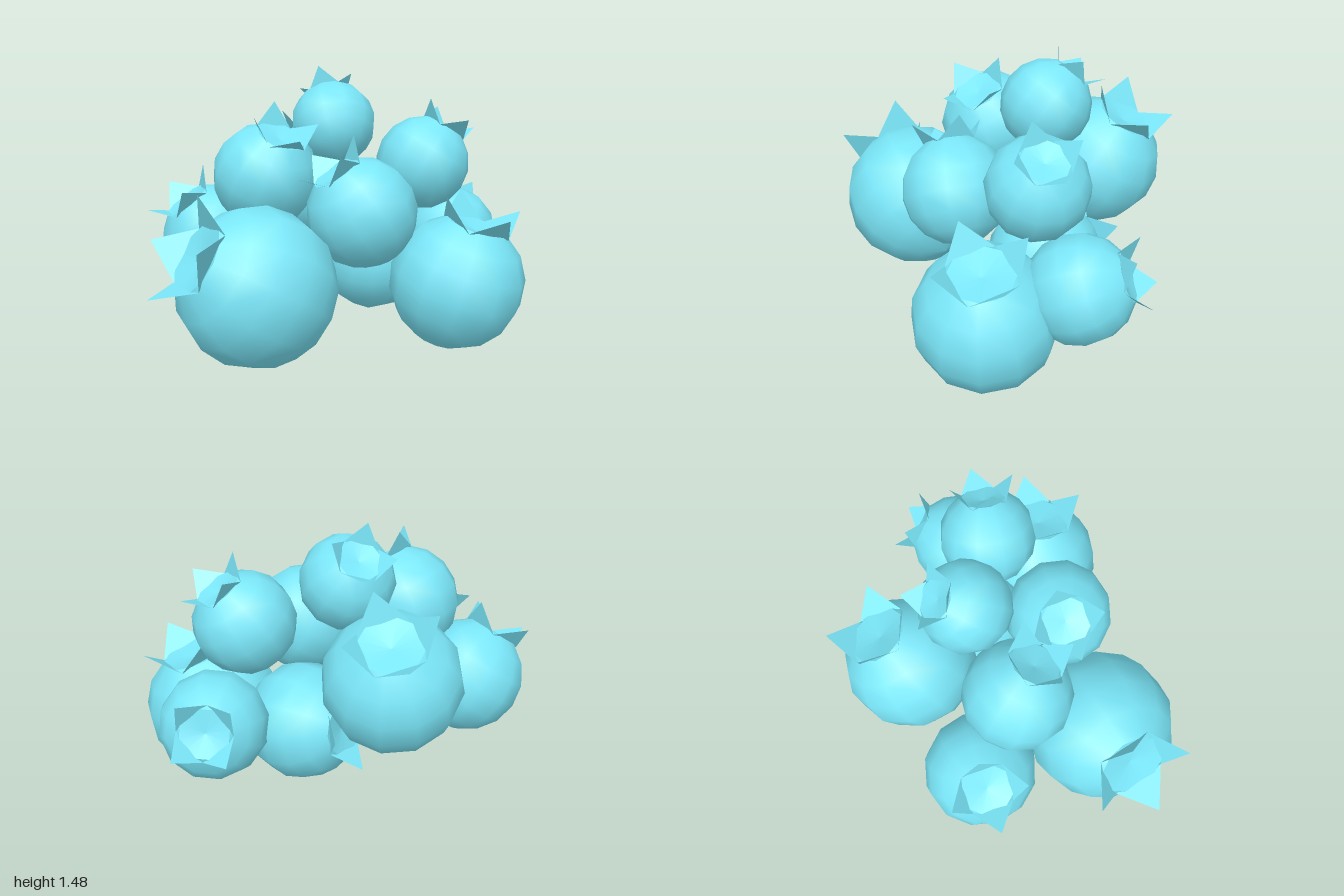
import * as THREE from 'three';

const material = new THREE.MeshStandardMaterial({ color: 0x7ae6f8, side: THREE.DoubleSide });
const petalMaterial = new THREE.MeshStandardMaterial({ color: 0x7ae6f8, side: THREE.DoubleSide, flatShading: true });

const RIM = 0.46; // angle from the berry axis to the crown rim

// Smooth low-poly ball of unit radius, open at the crown
function bodyGeometry() {
  const rings = 7, profile = [];
  for (let i = 0; i <= rings; i++) {
    const a = Math.PI - (Math.PI - RIM) * i / rings;
    profile.push(new THREE.Vector2(Math.max(Math.sin(a), 1e-5), Math.cos(a)));
  }
  return new THREE.LatheGeometry(profile, 12);
}

// Shallow dish closing the crown opening
function dishGeometry() {
  return new THREE.LatheGeometry([
    new THREE.Vector2(Math.sin(RIM), Math.cos(RIM)),
    new THREE.Vector2(1e-5, 0.82),
  ], 12);
}

// Four pointed petals, each rising outward from one side of a square
function crownGeometry() {
  const pts = [];
  const at = (radius, y, a) => pts.push(Math.cos(a) * radius, y, Math.sin(a) * radius);
  for (let i = 0; i < 4; i++) {
    const a = i * Math.PI / 2;
    at(0.5, 0.86, a + Math.PI / 4);
    at(0.5, 0.86, a - Math.PI / 4);
    at(0.66, 1.23, a);
  }
  const g = new THREE.BufferGeometry();
  g.setAttribute('position', new THREE.Float32BufferAttribute(pts, 3));
  g.computeVertexNormals();
  return g;
}

// name, centre, radius, crown direction, direction one petal leans to
const berries = [
  ['frontBerry', [-0.18, 0.455, 0.54], 0.4, [-0.2, 0.21, 0.27], [-0.46, 0.24, 0.2]],
  ['leftBerry', [0.625, 0.362, -0.21], 0.362, [0.1, 0.33, -0.02], [0.7, 0, -0.7]],
  ['rightBerry', [-0.683, 0.55, 0.068], 0.295, [-0.12, 0.22, 0.11], [-1, 0, 0.95]],
  ['upperRightBerry', [-0.335, 0.925, 0.125], 0.28, [0.13, 0.25, 0.05], [1, 0, 0.75]],
  ['middleBerry', [0.203, 0.77, 0.115], 0.284, [-0.12, 0.23, 0.09], [-0.7, 0, 0.7]],
  ['topBerry', [-0.105, 1.172, -0.25], 0.232, [-0.09, 0.18, -0.12], [-0.3, 0, -1]],
  ['upperLeftBerry', [0.373, 0.965, -0.37], 0.254, [0.11, 0.21, -0.07], [0.7, 0, -0.7]],
  ['backRightBerry', [-0.365, 0.785, -0.465], 0.338, [-0.01, 0.28, -0.15], [-0.5, 0, -1]],
  ['backLeftBerry', [0.47, 0.525, -0.62], 0.268, [-0.04, 0.1, -0.23], [-0.7, 0.7, 0]],
  ['lowerBackBerry', [0.1, 0.415, -0.335], 0.3, [-0.85, 0.2, -0.4], [0, 1, 0.2]],
];

export function createModel() {
  const model = new THREE.Group();
  model.name = 'berryCluster';
  const body = bodyGeometry(), dish = dishGeometry(), crown = crownGeometry();

  for (const [name, centre, radius, axis, lean] of berries) {
    const berry = new THREE.Group();
    berry.name = name;
    const y = new THREE.Vector3(...axis).normalize();
    const z = new THREE.Vector3(...lean).cross(y).normalize();
    const x = new THREE.Vector3().crossVectors(y, z);
    berry.quaternion.setFromRotationMatrix(new THREE.Matrix4().makeBasis(x, y, z));
    berry.position.set(...centre);
    berry.scale.setScalar(radius);

    const add = (part, geometry, mat) => {
      const mesh = new THREE.Mesh(geometry, mat);
      mesh.name = part;
      berry.add(mesh);
    };
    add('skin', body, material);
    add('crownDish', dish, material);
    add('crownPetals', crown, petalMaterial);
    model.add(berry);
  }
  return model;
}
